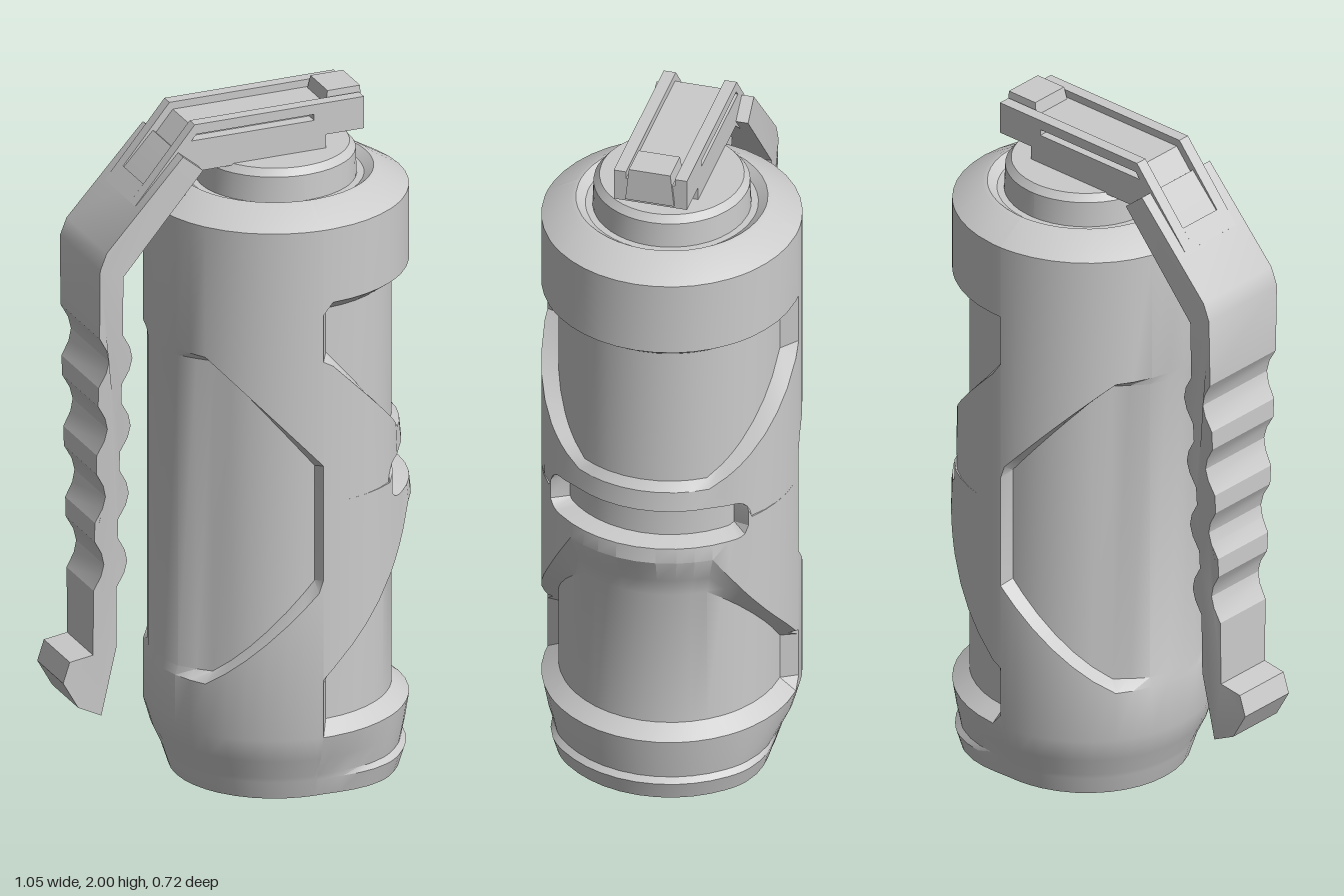
import * as THREE from 'three';
import { toCreasedNormals } from 'three/addons/utils/BufferGeometryUtils.js';

const material = new THREE.MeshStandardMaterial({ color: 0xcccccc });
const CX = 0.15, R = 0.37, FLOOR = 0.322, ZK = 0.975;
const mix = THREE.MathUtils.lerp, smooth = THREE.MathUtils.smoothstep;
const rad = THREE.MathUtils.degToRad;

function add(parent, name, geometry, crease = 0.5) {
  const mesh = new THREE.Mesh(toCreasedNormals(geometry, crease), material);
  mesh.name = name;
  parent.add(mesh);
  return mesh;
}

// Skin through upright profiles, one [y, radius] list per angle
function loft(angles, profile) {
  const pos = [], index = [];
  const columns = angles.map(profile), n = columns[0].length;
  columns.forEach((col, j) => {
    const a = rad(angles[j]);
    for (const [y, r] of col) pos.push(CX + r * Math.cos(a), y, r * Math.sin(a) * ZK);
  });
  for (let j = 0; j < columns.length - 1; j++) {
    for (let i = 0; i < n - 1; i++) {
      const a = j * n + i, c = a + n;
      index.push(a, a + 1, c, c, a + 1, c + 1);
    }
  }
  const g = new THREE.BufferGeometry();
  g.setAttribute('position', new THREE.Float32BufferAttribute(pos, 3));
  g.setIndex(index);
  return g;
}

// Base and shoulder rows shared by both halves of the body
const base = (b) => [
  [0, 0], [0, mix(0.3, 0.345, b)], [0.055, mix(0.318, 0.362, b)],
  [0.07, mix(0.322, 0.347, b)], [0.13, mix(0.35, 0.359, b)], [0.2, R],
];
const shoulder = [
  [1.72, R], [1.772, 0.285], [1.775, 0.272], [1.755, 0.245], [1.755, 0.225],
  [1.83, 0.222], [1.85, 0.205], [1.85, 0],
];

// +x half: recesses above and below a bulging band that holds a slot
function frontProfile(deg) {
  const a = Math.abs(deg), c = Math.max(0, Math.cos(rad(a)));
  const recess = a > 90 ? R : FLOOR;
  const w = Math.min(1, c / 0.83), s = w ** 4;
  const yU = 1.33 - 0.31 * w, yL = 0.36 + 0.3 * w;
  const slotEnd = Math.max(0, (a - 46) / 8);
  const half = a < 54 ? 0.055 * Math.sqrt(1 - Math.min(1, slotEnd) ** 2) : 0;
  const slotR = a <= 50 ? 0.315 : R;
  const inner = Math.max(0, half - 0.012);
  const crown = mix(R, 0.343, s);
  return [
    ...base(smooth(c, 0, 0.7)),
    [0.235, recess], [yL, recess],
    [yL + mix(0.012, 0.06, s), mix(mix(recess, R, 0.5), 0.342, s)],
    [yL + mix(0.025, 0.14, s), mix(R, 0.375, s)],
    [0.9 - half, R], [0.9 - inner, slotR], [0.9 + inner, slotR], [0.9 + half, mix(R, crown, 0.8)],
    [yU - 0.005, crown], [yU + 0.02, recess], [1.465, recess], [1.5, R],
    ...shoulder,
  ];
}

// -x half: one six-sided sunken panel, fading out behind the lever
function backProfile(deg) {
  const c = Math.max(0, -Math.cos(rad(deg)));
  const q = Math.min(1, c / 0.82);
  const yT = 1.0 + 0.33 * q, yB = 0.66 - 0.31 * q;
  const r = Math.abs(deg - 180) > 87 ? R : mix(0.33, 0.366, smooth(c, 0.82, 1));
  return [
    ...base(0), [yB, R], [yB + 0.025, r], [yT - 0.025, r], [yT, R], ...shoulder,
  ];
}

const polygon = (points) => new THREE.Shape(points.map(([x, y]) => new THREE.Vector2(x, y)));

// Extrude a side outline between two z positions
function slab(shape, z0, z1) {
  return new THREE.ExtrudeGeometry(shape, { depth: z1 - z0, bevelEnabled: false }).translate(0, 0, z0);
}

function box(x0, x1, y0, y1, halfZ) {
  return new THREE.BoxGeometry(x1 - x0, y1 - y0, halfZ * 2)
    .translate((x0 + x1) / 2, (y0 + y1) / 2, 0);
}

// Curved lever with finger waves and a hooked tip, narrowing downwards
function leverGeometry() {
  const wave = [];
  for (let i = 0; i < 4; i++) {
    const y = 1.33 - i * 0.207;
    wave.push([0, y + 0.075], [0.022, y + 0.035], [0.03, y], [0.022, y - 0.035], [0, y - 0.075]);
  }
  const outer = wave.map(([d, y]) => [-0.44 + d, y]);
  const inner = wave.map(([d, y]) => [-0.37 + d, y]).reverse();
  const outline = [
    [-0.19, 1.91], [-0.42, 1.66], [-0.44, 1.61], ...outer,
    [-0.44, 0.44], [-0.51, 0.43], [-0.53, 0.37], [-0.485, 0.29], [-0.415, 0.255],
    [-0.37, 0.45], ...inner, [-0.37, 1.58], [-0.13, 1.86],
  ];
  const g = slab(polygon(outline), -1, 1);
  const p = g.attributes.position;
  for (let i = 0; i < p.count; i++) {
    p.setZ(i, p.getZ(i) * mix(0.09, 0.14, smooth(p.getY(i), 0.45, 1.62)));
  }
  return g;
}

export function createModel() {
  const model = new THREE.Group();
  model.name = 'canister';

  // Body
  const half = [0, 9, 18, 26, 34, 42, 46, 48, 50, 52, 53.5, 54, 62, 70, 78, 87.5, 92];
  const frontAngles = [...half.slice(1).reverse().map((a) => -a), ...half];
  const backHalf = [0, 9, 18, 27, 35, 45, 54, 63, 72, 80, 86, 88];
  const backAngles = [...backHalf.slice(1).reverse().map((a) => 180 - a), ...backHalf.map((a) => 180 + a)];
  const body = new THREE.Group();
  body.name = 'body';
  add(body, 'bandedSide', loft(frontAngles, frontProfile));
  add(body, 'panelSide', loft(backAngles, backProfile));
  model.add(body);

  // Lever and its bracket on the shoulder
  const lever = new THREE.Group();
  lever.name = 'leverAssembly';
  add(lever, 'lever', leverGeometry(), 0.4);
  add(lever, 'leverBracket', box(-0.25, -0.12, 1.7, 1.76, 0.06));

  // Top plate: a sunken middle between two grooved rails
  const under = [[0.37, 1.89], [0.255, 1.89], [0.255, 1.845], [-0.13, 1.845], [-0.27, 1.725]];
  const core = polygon([
    [-0.32, 1.77], [-0.28, 1.818], [-0.265, 1.802], [-0.13, 1.963], [0.37, 1.963], ...under,
  ]);
  add(lever, 'plateCore', slab(core, -0.07, 0.07), 0.3);
  const rail = polygon([[-0.32, 1.77], [-0.14, 1.985], [0.37, 1.985], ...under]);
  rail.holes.push(polygon([[-0.15, 1.938], [0.22, 1.938], [0.22, 1.956], [-0.135, 1.956]]));
  for (const side of [-1, 1]) {
    const [z0, z1] = side > 0 ? [0.07, 0.105] : [-0.105, -0.07];
    add(lever, side > 0 ? 'frontRail' : 'backRail', slab(rail, z0, z1), 0.3);
  }

  // Raised block closing the end of the plate
  const block = box(0.26, 0.378, 1.9, 2.0, 0.07);
  const p = block.attributes.position;
  for (let i = 0; i < p.count; i++) {
    if (p.getY(i) > 1.95) {
      p.setZ(i, p.getZ(i) * 0.85);
      if (p.getX(i) < 0.3) p.setX(i, 0.28);
    }
  }
  add(lever, 'endBlock', block, 0.3);
  model.add(lever);
  return model;
}
